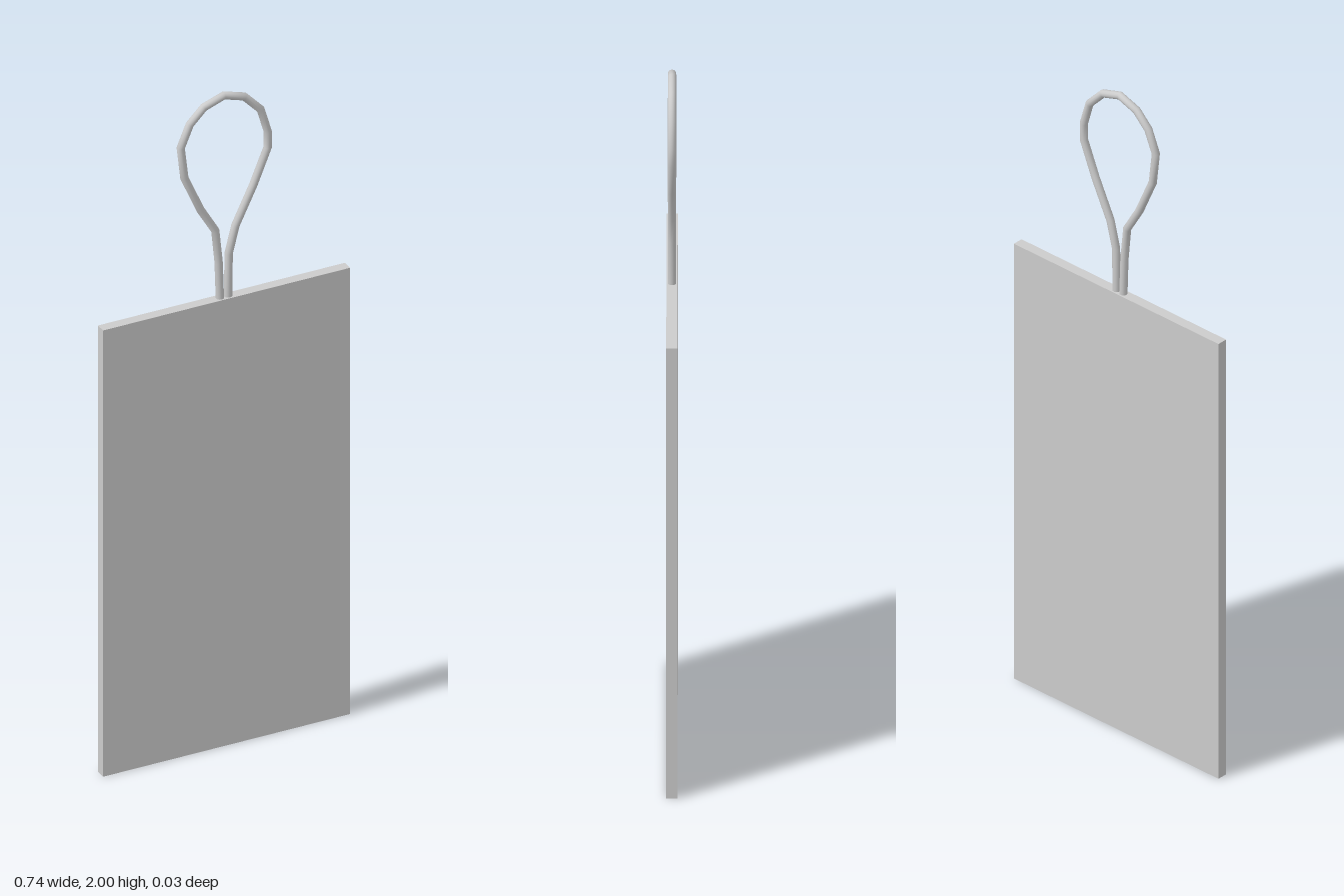
import * as THREE from 'three';

const PLATE_W = 0.736, PLATE_H = 1.37, PLATE_D = 0.03, CORD_R = 0.0112;

// Polyline whose parameter steps evenly from corner to corner, so tube rings land on the corners
class CornerPath extends THREE.Curve {
  constructor(points) {
    super();
    this.points = points;
  }
  getPoint(t, target = new THREE.Vector3()) {
    const last = this.points.length - 1;
    const s = THREE.MathUtils.clamp(t, 0, 1) * last;
    const i = Math.min(Math.floor(s + 1e-9), last - 1);
    return target.lerpVectors(this.points[i], this.points[i + 1], s - i);
  }
  getPointAt(u, target) {
    return this.getPoint(u, target);
  }
  // Bisect the two segments meeting at a corner
  getTangentAt(u, target = new THREE.Vector3()) {
    const p = this.points, last = p.length - 1, i = Math.round(u * last);
    target.set(0, 0, 0);
    if (i > 0) target.add(p[i].clone().sub(p[i - 1]).normalize());
    if (i < last) target.add(p[i + 1].clone().sub(p[i]).normalize());
    return target.normalize();
  }
}

export function createModel() {
  const model = new THREE.Group();
  model.name = 'hangingTag';
  const material = new THREE.MeshStandardMaterial({ color: 0xcccccc });

  // Flat rectangular tag
  const plate = new THREE.Mesh(new THREE.BoxGeometry(PLATE_W, PLATE_H, PLATE_D), material);
  plate.name = 'tagPlate';
  plate.position.y = PLATE_H / 2;
  model.add(plate);

  // Slightly uneven cord loop, from the left strand over the top and back down
  const corners = [
    [-0.012, 1.36], [-0.016, 1.48], [-0.026, 1.58], [-0.07, 1.655], [-0.118, 1.765],
    [-0.129, 1.86], [-0.102, 1.925], [-0.06, 1.967], [0, 1.988], [0.06, 1.969],
    [0.109, 1.917], [0.13, 1.845], [0.13, 1.795], [0.087, 1.69], [0.034, 1.58],
    [0.014, 1.5], [0.012, 1.36],
  ].map(([x, y]) => new THREE.Vector3(x, y, 0));
  const cord = new THREE.Mesh(
    new THREE.TubeGeometry(new CornerPath(corners), corners.length - 1, CORD_R, 12, false),
    material
  );
  cord.name = 'cordLoop';
  model.add(cord);

  return model;
}
